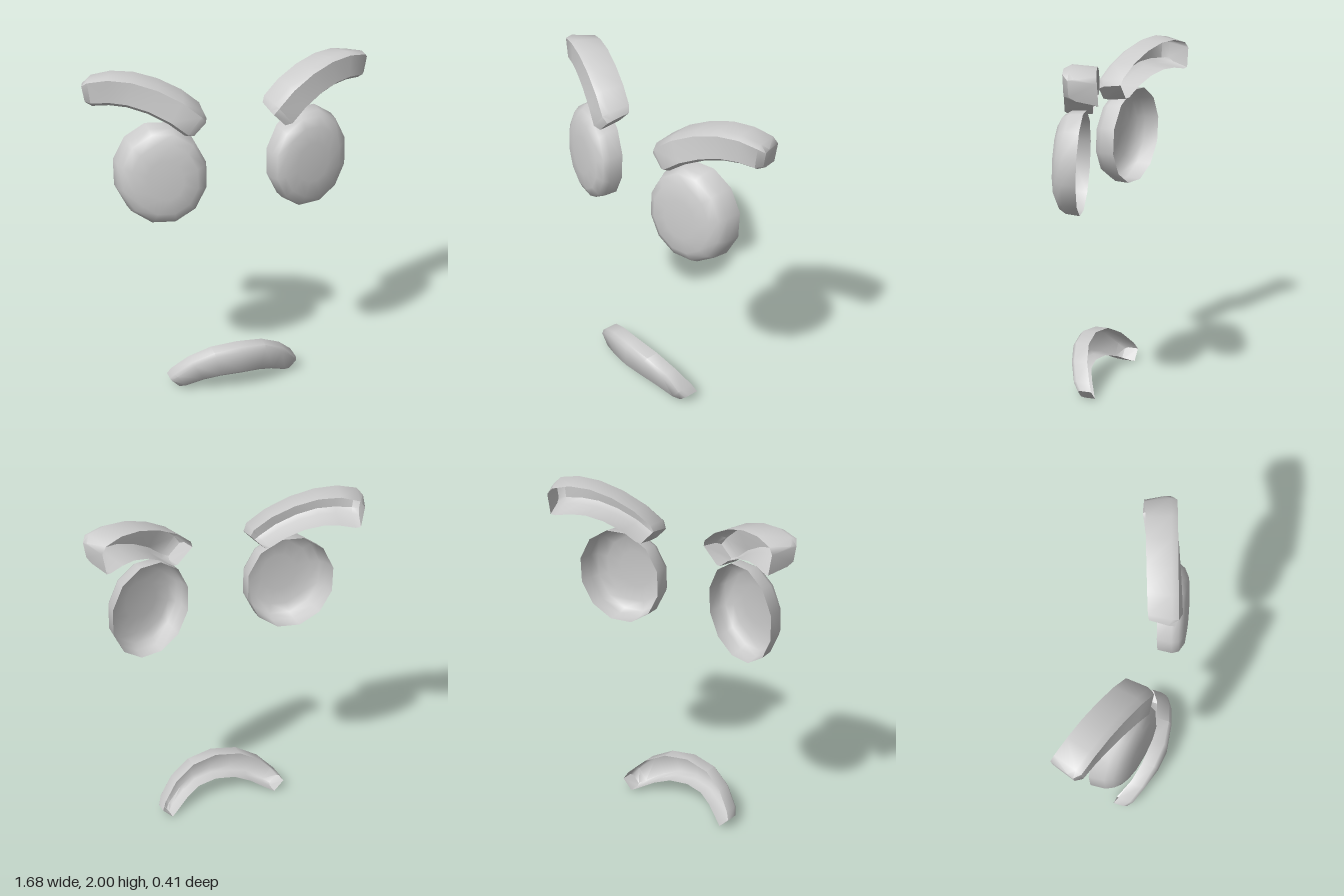
import * as THREE from 'three';
import { toCreasedNormals } from 'three/addons/utils/BufferGeometryUtils.js';

const material = new THREE.MeshStandardMaterial({ color: 0xcccccc, side: THREE.DoubleSide });

function part(name, geometry) {
  const mesh = new THREE.Mesh(toCreasedNormals(geometry, 0.9), material);
  mesh.name = name;
  return mesh;
}

// Curved bar with bevelled front and open back.
// path: [x, y, half height] from -x to +x; frontZ(x) and depth(t) shape it in depth.
function curvedShell(path, frontZ, depth) {
  const positions = [], index = [], last = path.length - 1;
  path.forEach(([x, y, h], i) => {
    const a = path[Math.max(i - 1, 0)], b = path[Math.min(i + 1, last)];
    const n = new THREE.Vector2(a[1] - b[1], b[0] - a[0]).normalize().multiplyScalar(h);
    const d = depth(i / last);
    const end = i === 0 || i === last ? 0.15 : 0; // ends are rounded back
    const section = [[1, 1], [1, 0.2 + end], [0.75, end], [-0.75, end], [-1, 0.2 + end], [-1, 1]];
    for (const [s, k] of section) {
      positions.push(x + n.x * s + d[0] * k, y + n.y * s + d[1] * k, frontZ(x) + d[2] * k);
    }
  });
  for (let i = 0; i < last; i++) {
    for (let j = 0; j < 5; j++) {
      const a = i * 6 + j, b = a + 6;
      index.push(a, a + 1, b + 1, a, b + 1, b);
    }
  }
  // end caps
  for (let j = 1; j < 5; j++) {
    const e = last * 6;
    index.push(0, j + 1, j, e, e + j, e + j + 1);
  }
  const geometry = new THREE.BufferGeometry();
  geometry.setAttribute('position', new THREE.Float32BufferAttribute(positions, 3));
  geometry.setIndex(index);
  return geometry;
}

// Shallow twelve-sided bowl, open at the back and turned outwards.
function eyeGeometry() {
  const profile = [[1, 0], [0.98, 0.085], [0.9, 0.125], [0.72, 0.152], [0.4, 0.162], [0, 0.165]];
  const geometry = new THREE.LatheGeometry(
    profile.map(([r, z]) => new THREE.Vector2(r, z)), 12, Math.PI / 12);
  geometry.rotateX(Math.PI / 2).scale(0.256, 0.295, 1);
  const p = geometry.attributes.position;
  for (let i = 0; i < p.count; i++) {
    p.setZ(i, p.getZ(i) - 0.22 * p.getX(i) - 0.04 * p.getY(i));
  }
  return geometry.translate(0.4375, 1.415, 0.005);
}

function browGeometry() {
  const path = [
    [0.235, 1.69, 0.065], [0.265, 1.72, 0.083], [0.36, 1.797, 0.085], [0.48, 1.862, 0.085],
    [0.6, 1.902, 0.085], [0.71, 1.914, 0.085], [0.81, 1.903, 0.08], [0.845, 1.897, 0.06],
  ];
  return curvedShell(path, x => 0.265 - 0.365 * x,
    t => [-0.01 - 0.06 * t, 0.02 - 0.06 * t, -0.167]);
}

function mouthGeometry() {
  const half = [[0.14, 0.18, 0.084], [0.25, 0.132, 0.075], [0.345, 0.06, 0.058], [0.375, 0.03, 0.044]];
  const path = [
    ...half.map(([x, y, h]) => [-x, y, h]).reverse(), [0, 0.195, 0.087], ...half,
  ];
  return curvedShell(path, x => 0.203 - 0.9 * x * x, () => [0, 0, -0.1]);
}

export function createModel() {
  const model = new THREE.Group();
  model.name = 'face';
  for (const [side, sign] of [['left', 1], ['right', -1]]) {
    const group = new THREE.Group();
    group.name = side + 'EyeAndBrow';
    group.add(part(side + 'Eye', eyeGeometry()), part(side + 'Brow', browGeometry()));
    group.scale.x = sign;
    model.add(group);
  }
  model.add(part('mouth', mouthGeometry()));
  return model;
}
